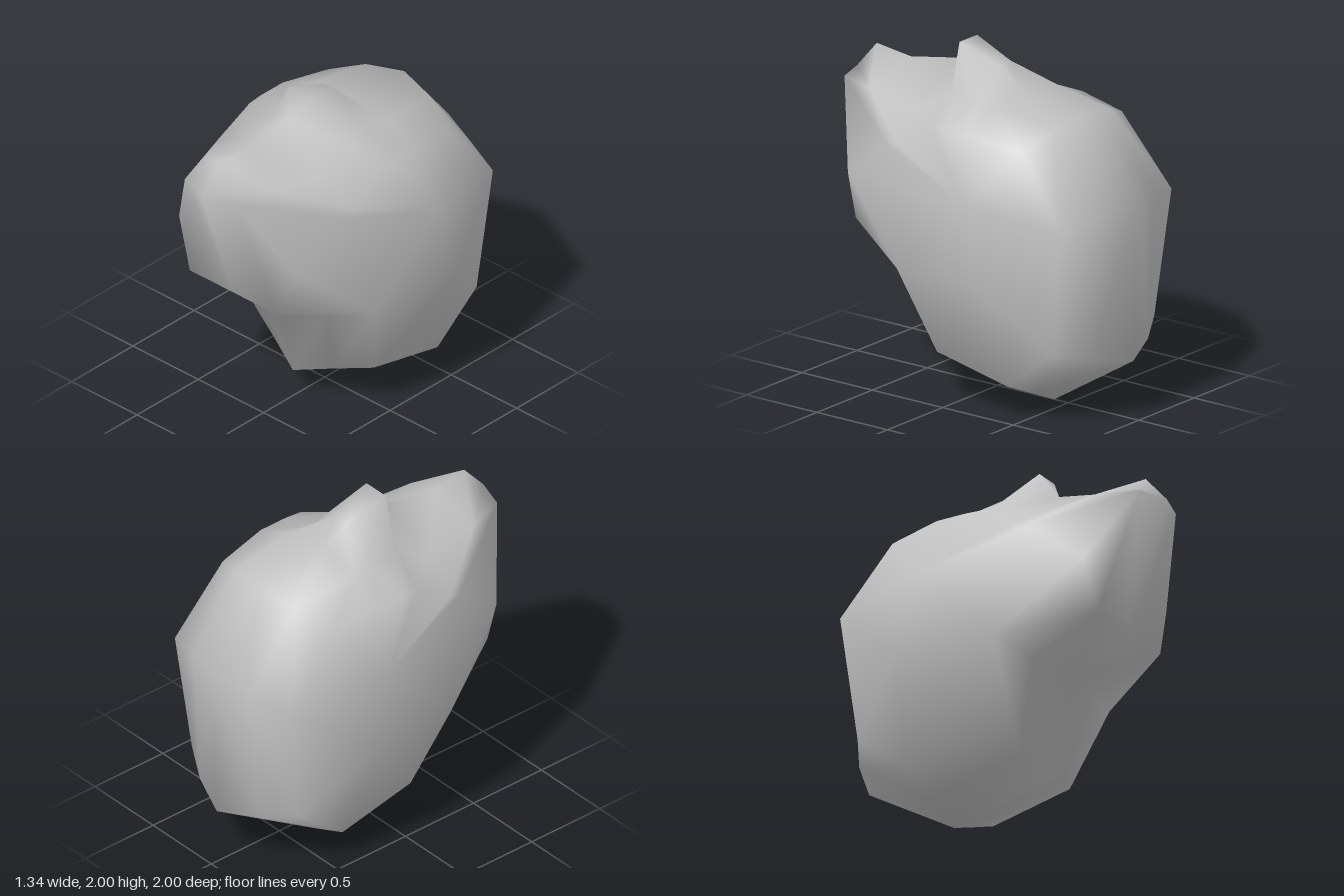
import * as THREE from 'three';
import { mergeVertices } from 'three/addons/utils/BufferGeometryUtils.js';

// Half cross-sections [crown line, flank, side edge], running from the snout tip
// over the top, down the back, under the base and up the neck.
const SECTIONS = [
  [[0, 1.68, 1], [0.19, 1.68, 0.94], [0.44, 1.22, 0.72]],          // snout tip
  [[0, 1.84, 0.86], [0.27, 1.68, 0.7], [0.5, 1.47, 0.4]],          // snout top
  [[0, 1.81, 0.62], [0.27, 1.68, 0.7], [0.5, 1.47, 0.4]],
  [[0, 1.87, 0.29], [0.29, 1.63, 0.36], [0.52, 1.5, 0.32]],        // hollow
  [[0.08, 2, 0.21], [0.23, 1.75, 0.15], [0.5, 1.64, 0.08]],        // crest
  [[0.05, 1.91, -0.05], [0.25, 1.74, -0.05], [0.51, 1.64, -0.02]],
  [[0, 1.78, -0.16], [0.28, 1.74, -0.2], [0.51, 1.64, -0.2]],
  [[0, 1.73, -0.65], [0.25, 1.69, -0.6], [0.46, 1.6, -0.52]],      // upper back
  [[0, 1.29, -1], [0.25, 1.25, -0.92], [0.5, 1.2, -0.84]],
  [[0, 0.34, -0.96], [0.25, 0.39, -0.87], [0.46, 0.45, -0.75]],    // lower back
  [[0, 0, -0.4], [0.23, 0.1, -0.42], [0.46, 0.2, -0.43]],          // base
  [[0, 0.17, 0.26], [0.22, 0.235, 0.17], [0.45, 0.3, 0.08]],       // neck
  [[0, 0.73, 0.38], [0.3, 0.76, 0.31], [0.61, 0.8, 0.24]],
  [[0, 0.92, 0.75], [0.33, 0.92, 0.75], [0.61, 0.8, 0.24]],        // snout underside
];
// Widest points of the sides; the lower one closes the base sections.
const UPPER_SIDE = [0.635, 1.28, -0.25];
const LOWER_SIDE = [0.67, 0.82, -0.36];

function headGeometry() {
  const positions = [], index = [];
  const mirror = ([x, y, z]) => [-x, y, z];
  SECTIONS.forEach((section, i) => {
    const half = [...section, i >= 9 && i <= 12 ? LOWER_SIDE : UPPER_SIDE];
    const row = [...half.map(mirror).reverse(), ...half];
    row.forEach((p) => positions.push(...p));
  });
  const n = SECTIONS.length, w = 8;
  for (let i = 0; i < n; i++) {
    for (let j = 0; j < w - 1; j++) {
      const a = i * w + j, b = a + 1;
      const d = ((i + 1) % n) * w + j, c = d + 1;
      // Mirror the diagonal so both halves match
      if (j < w / 2) index.push(a, b, d, b, c, d);
      else index.push(a, b, c, a, c, d);
    }
  }
  let geometry = new THREE.BufferGeometry();
  geometry.setAttribute('position', new THREE.Float32BufferAttribute(positions, 3));
  geometry.setIndex(index);
  geometry = mergeVertices(geometry, 1e-4);

  // Drop triangles collapsed by the merge
  const merged = geometry.index.array, kept = [];
  for (let i = 0; i < merged.length; i += 3) {
    const [a, b, c] = [merged[i], merged[i + 1], merged[i + 2]];
    if (a !== b && b !== c && c !== a) kept.push(a, b, c);
  }
  geometry.setIndex(kept);
  geometry.computeVertexNormals();
  return geometry;
}

export function createModel() {
  const grey = new THREE.MeshStandardMaterial({ color: 0xc0c0c0 });
  grey.name = 'light grey';
  const head = new THREE.Mesh(headGeometry(), grey);
  head.name = 'head';
  const model = new THREE.Group();
  model.name = 'crested head';
  model.add(head);
  return model;
}
